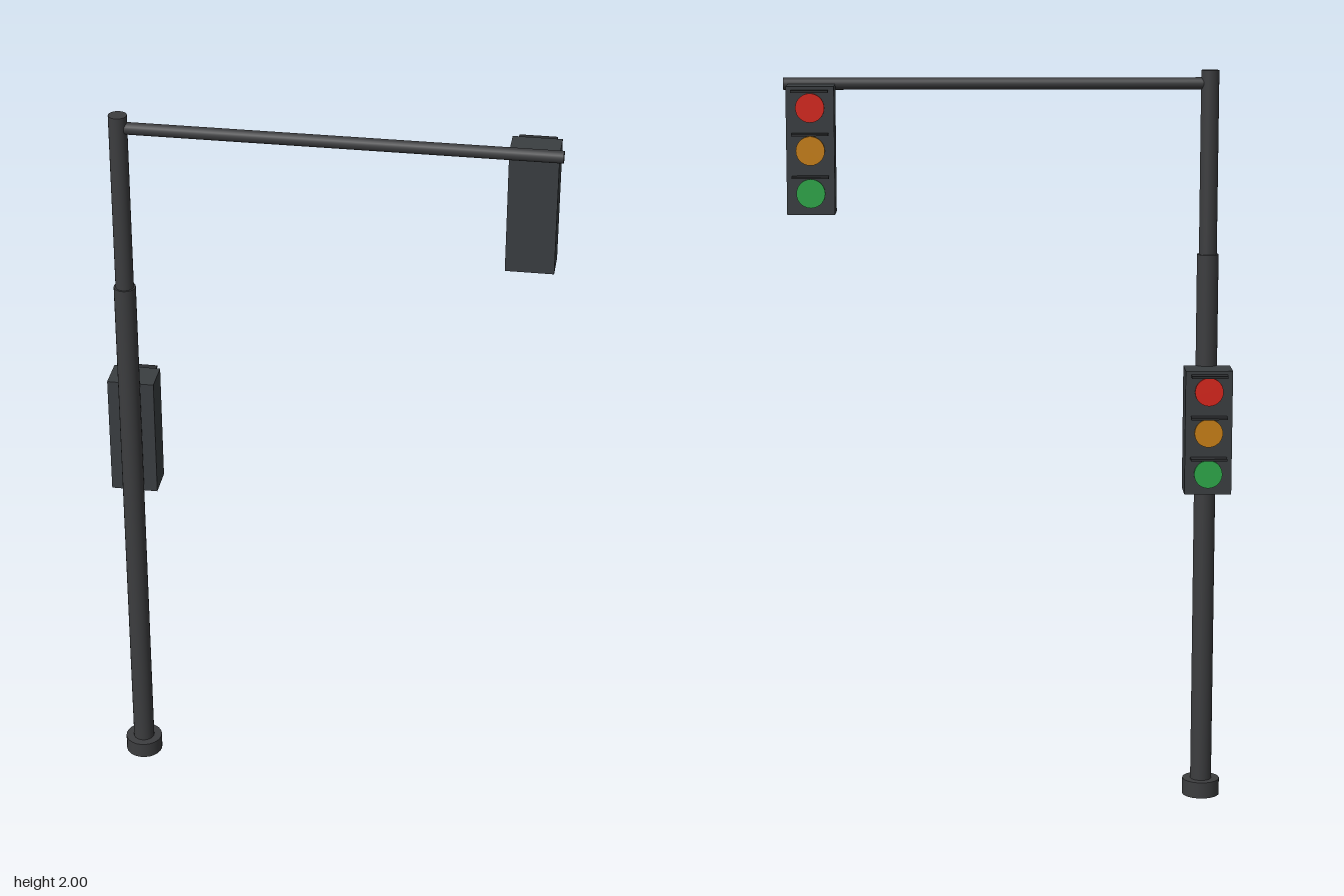
import * as THREE from 'three';

const POLE_X = -0.535, POLE_Z = 0.04;

function paint(color) {
  return new THREE.MeshStandardMaterial({ color });
}

function add(parent, name, geometry, material, x, y, z) {
  const mesh = new THREE.Mesh(geometry, material);
  mesh.name = name;
  mesh.position.set(x, y, z);
  parent.add(mesh);
  return mesh;
}

export function createModel() {
  const model = new THREE.Group();
  model.name = 'trafficLight';
  const poleMat = paint(0x3c3d3f);
  const housingMat = paint(0x3a3e41);
  const visorMat = paint(0x2c2e30);
  const lampMats = [paint(0xd8261c), paint(0xc98016), paint(0x2ea84a)];
  const lampNames = ['redLamp', 'amberLamp', 'greenLamp'];

  // Upright pole in stacked sections: name, radius, bottom, top
  const sections = [
    ['base', 0.051, 0, 0.045],
    ['lowerPole', 0.029, 0.045, 1.51],
    ['upperPole', 0.024, 1.51, 2],
  ];
  for (const [name, r, y0, y1] of sections) {
    add(model, name, new THREE.CylinderGeometry(r, r, y1 - y0, 24), poleMat, POLE_X, (y0 + y1) / 2, POLE_Z);
  }

  // Horizontal arm
  const armEnd = 0.595;
  const arm = add(model, 'arm', new THREE.CylinderGeometry(0.016, 0.016, armEnd - POLE_X, 20),
    poleMat, (armEnd + POLE_X) / 2, 1.965, POLE_Z);
  arm.rotation.z = Math.PI / 2;

  // Signal head with three lamps and flat visors, facing -z
  const housingGeo = new THREE.BoxGeometry(0.126, 0.336, 0.09);
  const visorGeo = new THREE.BoxGeometry(0.097, 0.006, 0.032);
  const lampGeo = new THREE.CylinderGeometry(0.038, 0.038, 0.01, 28).rotateX(Math.PI / 2);

  function addSignal(name, x, y) {
    const head = new THREE.Group();
    head.name = name;
    head.position.set(x, y, 0);
    add(head, 'housing', housingGeo, housingMat, 0, 0, -0.019);
    lampMats.forEach((mat, i) => {
      const cy = (1 - i) * 0.112;
      add(head, lampNames[i], lampGeo, mat, 0, cy, -0.065);
      add(head, 'visor', visorGeo, visorMat, 0, cy + 0.044, -0.079);
    });
    model.add(head);
  }
  addSignal('poleSignal', POLE_X, 1.041);
  addSignal('armSignal', 0.52, 1.797);

  return model;
}
